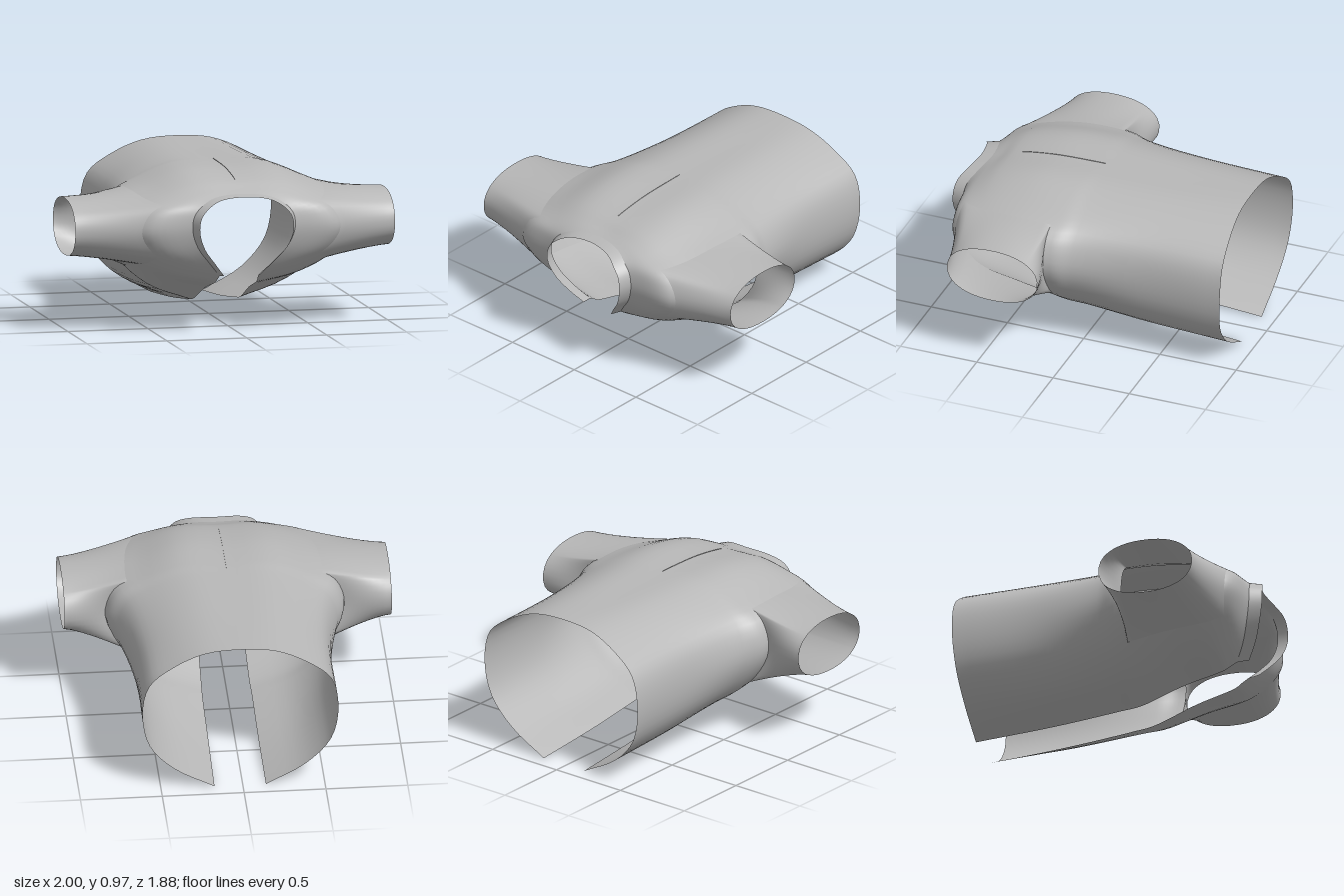
import * as THREE from 'three';
import { mergeVertices } from 'three/addons/utils/BufferGeometryUtils.js';

const V = (x, y, z) => new THREE.Vector3(x, y, z);
const SHIFT = 0.016; // the garment's centre line sits slightly to its left
const USTEP = 4, VSTEP = 6; // subdivisions per control segment

// Half cross-sections from the middle of the back round to the front edge: [z, x, y, x, y, ...]
const BODY = [
  [-0.91, 0, .965, .22, .945, .41, .865, .555, .75, .598, .55, .555, .32, .405, .145, .157, .005],
  [-0.4, 0, .962, .23, .953, .43, .875, .565, .755, .602, .56, .555, .345, .4, .165, .152, .05],
  [0, 0, .965, .25, .96, .47, .88, .62, .775, .675, .58, .585, .37, .4, .2, .15, .1],
  [0.13, 0, .965, .27, .965, .5, .88, .67, .785, .725, .6, .62, .39, .42, .22, .146, .12],
  [0.4, 0, .955, .27, .96, .5, .875, .67, .8, .73, .62, .63, .43, .42, .3, .14, .225],
  [0.65, 0, .915, .25, .915, .46, .85, .62, .775, .68, .62, .6, .465, .4, .36, .13, .3],
];
// Shoulder yoke and neckline: [x, y, z] per point
const YOKE = [[0, .88, .735], [.2, .875, .755], [.38, .825, .785], [.54, .76, .805],
  [.6, .64, .81], [.53, .52, .785], [.34, .41, .74], [.125, .325, .69]];
const NECK = [[0, .86, .79], [.17, .845, .815], [.26, .8, .85], [.31, .74, .86],
  [.32, .65, .86], [.28, .54, .835], [.2, .44, .79], [.122, .35, .73]];

// Skins a grid of points, leaving out cells where skip(row, column) is true
function loft(rows, skip = () => false) {
  const n = rows[0].length, index = [];
  for (let j = 0; j < rows.length - 1; j++) {
    for (let i = 0; i < n - 1; i++) {
      if (skip(j, i)) continue;
      const a = j * n + i, b = a + 1, c = a + n, d = c + 1;
      index.push(a, b, d, a, d, c);
    }
  }
  let g = new THREE.BufferGeometry().setFromPoints(rows.flat());
  g.setIndex(index);
  g = mergeVertices(g, 1e-5);
  g.computeVertexNormals();
  return g;
}

// Mirrors a half section and returns a smooth row of points
function smoothRow(half) {
  const pts = [...half.slice(1).reverse().map(p => V(-p.x, p.y, p.z)), ...half];
  return new THREE.CatmullRomCurve3(pts).getPoints((pts.length - 1) * USTEP);
}

export function createModel() {
  const cloth = new THREE.MeshStandardMaterial({ color: 0xb8b8b8, side: THREE.DoubleSide });
  cloth.name = 'grey cloth';
  const model = new THREE.Group();
  model.name = 'openVest';
  const add = (geometry, name) => {
    const mesh = new THREE.Mesh(geometry, cloth);
    mesh.name = name;
    model.add(mesh);
  };

  // Control sections, with the sides of the hem drooping a little further back
  const halves = BODY.map(([z, ...xy], s) => Array.from({ length: 8 }, (_, k) =>
    V(xy[2 * k], xy[2 * k + 1], z - (s === 0 ? 0.03 * Math.pow(Math.sin(k / 7 * Math.PI), 3) : 0))));
  halves.push(YOKE.map(p => V(...p)), NECK.map(p => V(...p)));
  const sections = halves.map(smoothRow);
  const columns = sections[0].map((_, i) =>
    new THREE.CatmullRomCurve3(sections.map(s => s[i])).getPoints((sections.length - 1) * VSTEP));
  const grid = columns[0].map((_, j) => columns.map(c => c[j].clone().add(V(SHIFT, 0, 0))));

  // Torso with an armhole on each side
  const mid = 7 * USTEP, u0 = 10, u1 = 21, v0 = 19, v1 = 35;
  add(loft(grid, (j, i) => {
    const u = i < mid ? mid - 1 - i : i - mid;
    return j >= v0 && j < v1 && u >= u0 && u < u1;
  }), 'torso');

  // Sleeves: from the armhole edge to an oval cuff
  const superPow = (t) => Math.sign(t) * Math.pow(Math.abs(t), 0.9);
  for (const side of [1, -1]) {
    const loop = [];
    const at = (j, u) => loop.push(grid[j][mid + side * u]);
    for (let u = u0; u < u1; u++) at(v0, u);
    for (let j = v0; j < v1; j++) at(j, u1);
    for (let u = u1; u > u0; u--) at(v1, u);
    for (let j = v1; j >= v0; j--) at(j, u0);
    const rows = [];
    for (let k = 0; k <= 10; k++) {
      const s = k / 10, e = 1 - Math.pow(1 - s, 1.3);
      rows.push(loop.map(p => {
        const a = Math.atan2((p.y - 0.63) / 0.21, (p.z - 0.46) / 0.29);
        const y = 0.64 + 0.175 * superPow(Math.sin(a));
        const z = 0.4 + 0.295 * superPow(Math.cos(a));
        return V(THREE.MathUtils.lerp(p.x, side, s),
          THREE.MathUtils.lerp(p.y, y, e), THREE.MathUtils.lerp(p.z, z, e));
      }));
    }
    if (side < 0) rows.forEach(r => r.reverse());
    add(loft(rows), side > 0 ? 'leftSleeve' : 'rightSleeve');
  }

  // Collar band standing forward from the neckline
  const neck = grid[grid.length - 1];
  const rim = neck.map(p => V(SHIFT + (p.x - SHIFT) * 0.91, 0.6 + (p.y - 0.6) * 0.96, p.z + 0.075));
  add(loft([neck, rim]), 'collar');

  // Narrow pleat along the middle of the back
  const spine = grid.slice(14, 30).map(row => row[mid]);
  add(loft([0.003, -0.03].map(dy => spine.map(p => V(p.x, p.y + dy, p.z)))), 'backPleat');

  return model;
}
